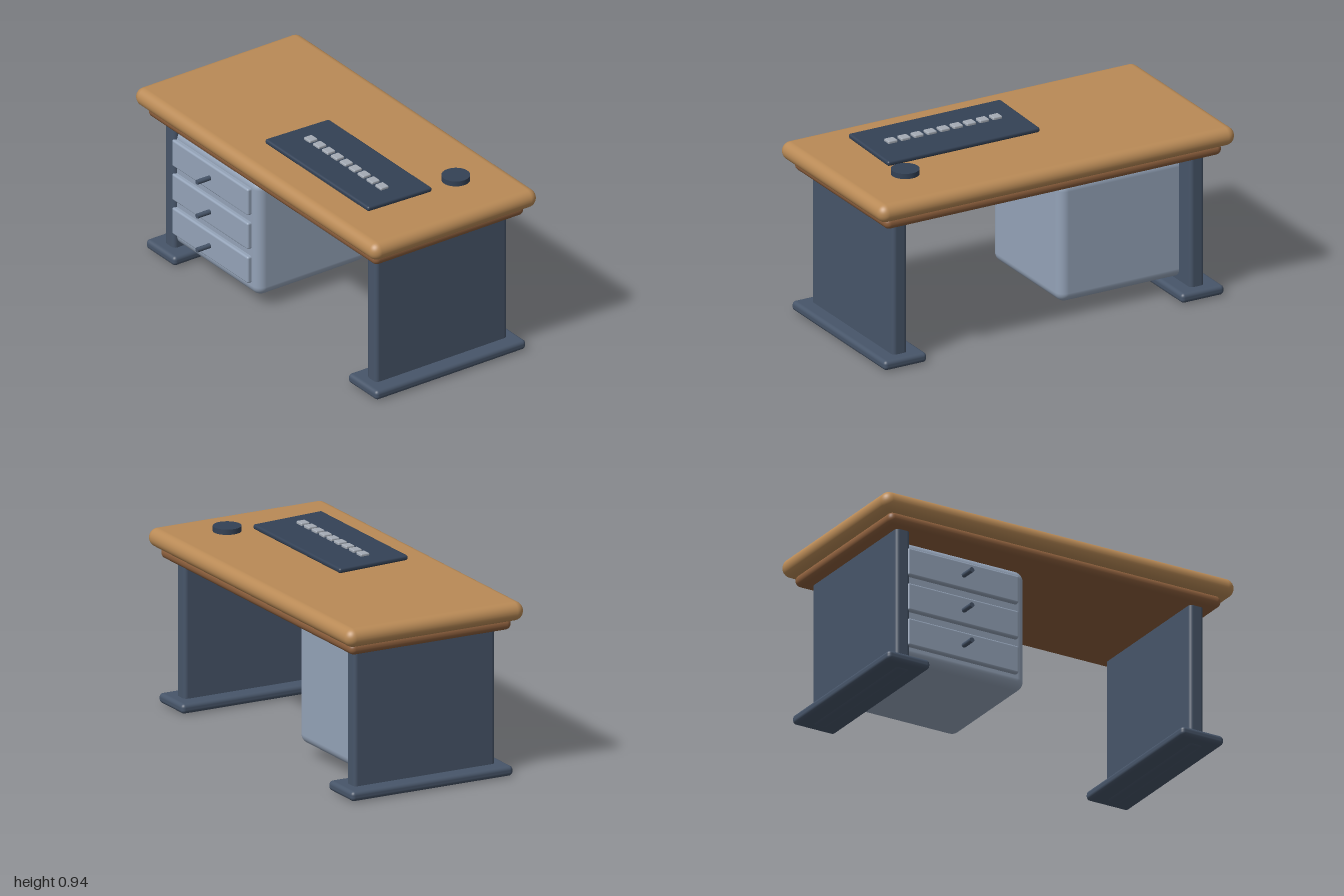
import * as THREE from 'three';
import { RoundedBoxGeometry } from 'three/addons/geometries/RoundedBoxGeometry.js';

const paint = (color) => new THREE.MeshStandardMaterial({ color });

export function createModel() {
  const desk = new THREE.Group();
  desk.name = 'desk';

  const wood = paint(0xb98a56);
  const darkWood = paint(0x8b5e3c);
  const steel = paint(0x475569);
  const cabinetGrey = paint(0x94a3b8);
  const navy = paint(0x334155);
  const keyGrey = paint(0xa3aab4);

  const add = (parent, name, geometry, material, x, y, z) => {
    const mesh = new THREE.Mesh(geometry, material);
    mesh.name = name;
    mesh.position.set(x, y, z);
    parent.add(mesh);
    return mesh;
  };

  // Rounded box given by its [min, max] extent on each axis
  const slab = (parent, name, material, [x0, x1], [y0, y1], [z0, z1], radius) =>
    add(parent, name, new RoundedBoxGeometry(x1 - x0, y1 - y0, z1 - z0, 5, radius), material,
      (x0 + x1) / 2, (y0 + y1) / 2, (z0 + z1) / 2);

  // Table top and the darker frame beneath it
  slab(desk, 'tableTop', wood, [-1, 1], [0.795, 0.89], [-0.495, 0.495], 0.047);
  slab(desk, 'underFrame', darkWood, [-0.945, 0.945], [0.742, 0.802], [-0.45, 0.45], 0.029);

  // Panel legs on flat feet
  for (const [side, x] of [['left', 0.835], ['right', -0.835]]) {
    slab(desk, side + 'Leg', steel, [x - 0.04, x + 0.04], [0, 0.77], [-0.393, 0.393], 0.02);
    slab(desk, side + 'Foot', steel, [x - 0.12, x + 0.12], [0.005, 0.055], [-0.45, 0.45], 0.02);
  }

  // Drawer cabinet hung on the right leg
  const cabinet = new THREE.Group();
  cabinet.name = 'drawerCabinet';
  desk.add(cabinet);
  slab(cabinet, 'cabinetBody', cabinetGrey, [-0.865, -0.125], [0.067, 0.702], [-0.285, 0.375], 0.05);
  const handle = new THREE.CylinderGeometry(0.0125, 0.0125, 0.085, 20).rotateX(Math.PI / 2);
  for (let i = 0; i < 3; i++) {
    const y = 0.206 + i * 0.1875;
    slab(cabinet, 'drawerFront', cabinetGrey, [-0.81, -0.18], [y - 0.073, y + 0.073], [0.35, 0.398], 0.01);
    add(cabinet, 'drawerHandle', handle, steel, -0.495, y, 0.4325);
  }

  // Tilted keyboard with one row of keys
  const board = slab(desk, 'keyboard', navy, [-0.145, 0.71], [0.896, 0.922], [-0.062, 0.322], 0.011);
  board.rotation.x = -0.031;
  const key = new RoundedBoxGeometry(0.052, 0.018, 0.048, 3, 0.006);
  for (let i = 0; i < 9; i++) {
    add(desk, 'key', key, keyGrey, -0.013 + i * 0.0735, 0.926, 0.142);
  }

  // Round puck beside the keyboard
  add(desk, 'puck', new THREE.CylinderGeometry(0.07, 0.07, 0.027, 40), navy, 0.7, 0.9205, -0.21);

  return desk;
}
